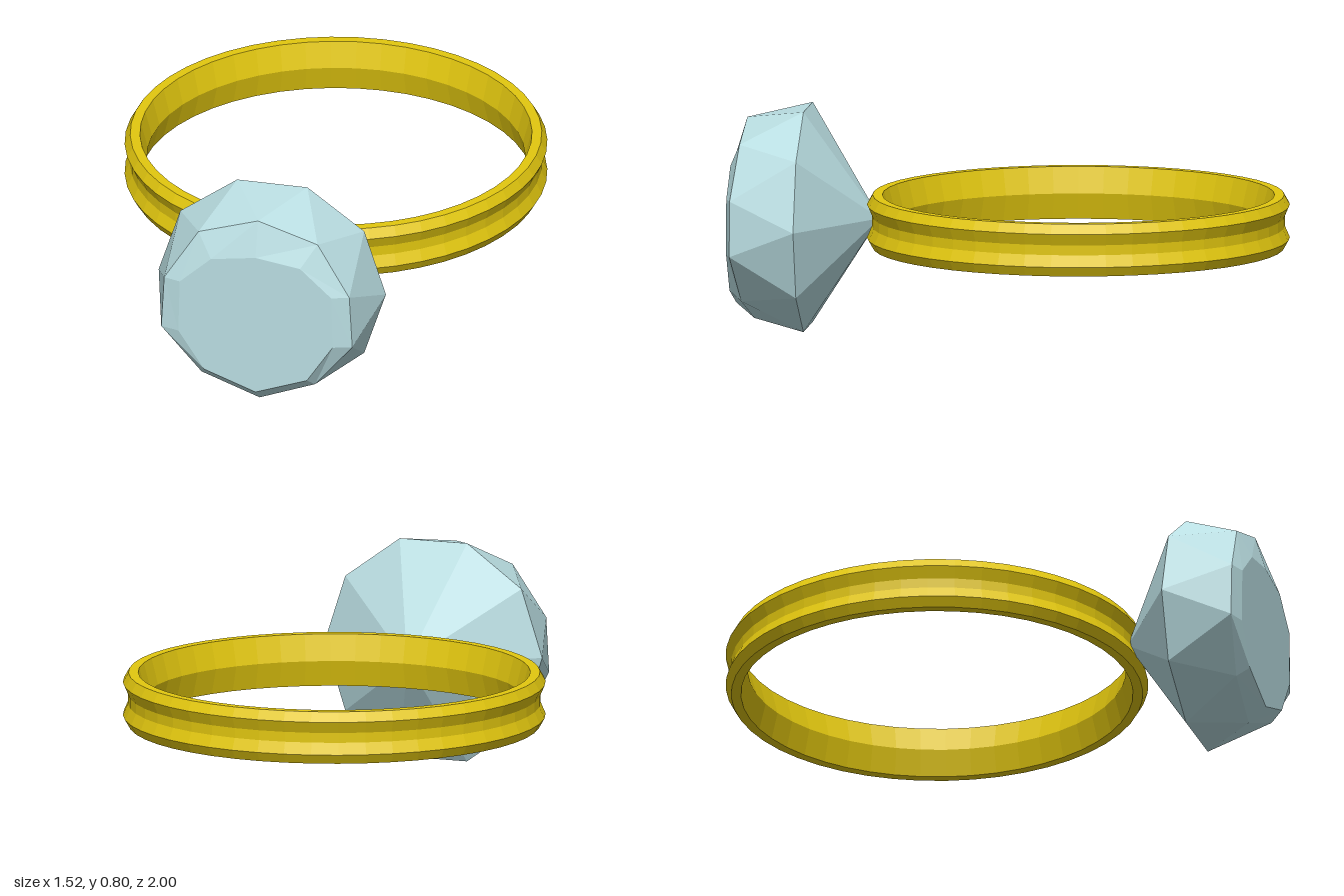
import * as THREE from 'three';

const SIDES = 10;

// Completes a mirrored ring: half lists the points on the +x side, from top to bottom.
// Returned counter-clockwise seen from +z, starting at the first point above y centre at 18 degrees.
function mirroredRing(half) {
  const [top, upper, sideHigh, sideLow, lower, bottom] = half;
  const flip = ([x, y, z]) => [-x, y, z];
  return [sideHigh, upper, top, flip(upper), flip(sideHigh),
    flip(sideLow), flip(lower), bottom, lower, sideLow];
}

function createGem() {
  const girdle = [];
  for (let k = 0; k < SIDES; k++) {
    const a = (k / SIDES) * Math.PI * 2;
    girdle.push([0.42 * Math.cos(a), 0.4 + 0.42 * Math.sin(a), 0.74]);
  }
  // Slightly uneven crown rim and table
  const rim = mirroredRing([[0, 0.76, 0.96], [0.22, 0.69, 0.96], [0.342, 0.5, 0.98],
    [0.353, 0.3, 0.98], [0.21, 0.12, 0.955], [0, 0.03, 0.935]]);
  const table = mirroredRing([[0, 0.63, 1], [0.165, 0.605, 1], [0.28, 0.5, 1],
    [0.285, 0.3, 1], [0.19, 0.155, 1], [0, 0.085, 1]]);
  const culet = [0, 0.4, 0.48];
  const centre = [0, 0.4, 1];

  const pos = [];
  const tri = (...corners) => corners.forEach((c) => pos.push(...c));
  for (let k = 0; k < SIDES; k++) {
    const n = (k + 1) % SIDES;
    tri(culet, girdle[n], girdle[k]); // pavilion
    tri(girdle[k], girdle[n], rim[k]); // crown
    tri(rim[k], girdle[n], rim[n]);
    tri(rim[k], rim[n], table[n]); // bevel
    tri(rim[k], table[n], table[k]);
    tri(centre, table[k], table[n]); // table
  }
  const geometry = new THREE.BufferGeometry();
  geometry.setAttribute('position', new THREE.Float32BufferAttribute(pos, 3));
  geometry.computeVertexNormals();
  const gem = new THREE.Mesh(geometry,
    new THREE.MeshStandardMaterial({ color: 0xb9dde1, flatShading: true }));
  gem.name = 'gem';
  return gem;
}

function createBand() {
  // Closed section: grooved outside, ridged inside
  const section = [[0.705, -0.095], [0.74, -0.095], [0.76, -0.06], [0.742, -0.018],
    [0.742, 0.018], [0.76, 0.06], [0.74, 0.095], [0.705, 0.095], [0.68, 0], [0.705, -0.095]];
  const geometry = new THREE.LatheGeometry(section.map(([r, y]) => new THREE.Vector2(r, y)), 48);
  const band = new THREE.Mesh(geometry,
    new THREE.MeshStandardMaterial({ color: 0xe2c70f, flatShading: true }));
  band.name = 'band';
  band.position.set(0, 0.405, -0.24);
  return band;
}

export function createModel() {
  const ring = new THREE.Group();
  ring.name = 'ring';
  ring.add(createBand(), createGem());
  return ring;
}
